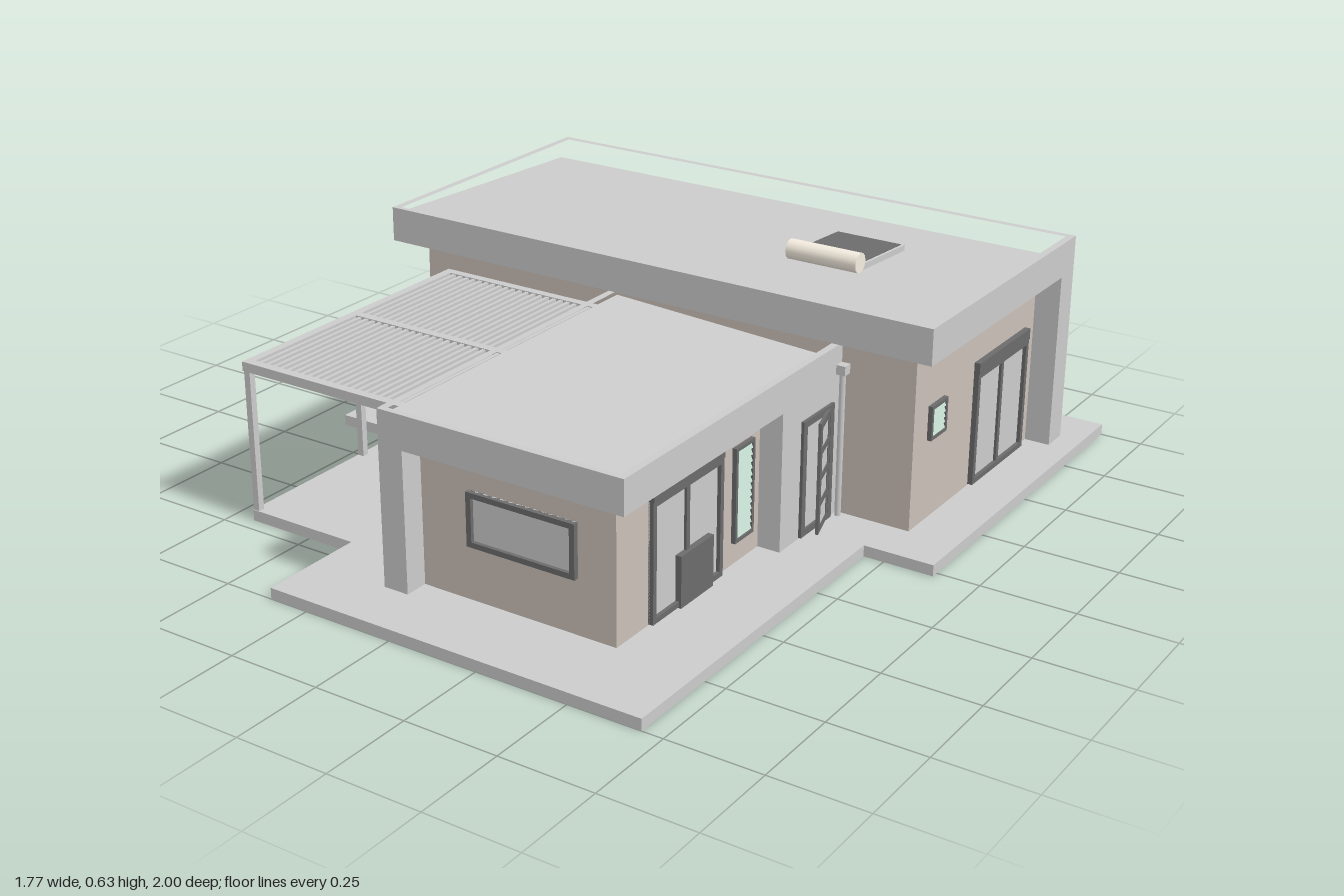
import * as THREE from 'three';

const mat = (color) => new THREE.MeshStandardMaterial({ color });
const grey = mat(0xcccccc), wallMat = mat(0xcbc0b8), dark = mat(0x6c6c6c);
const paneMat = mat(0xc4ddd0), cream = mat(0xf4ecdf);

function add(parent, name, geometry, material = grey) {
  const mesh = new THREE.Mesh(geometry, material);
  mesh.name = name;
  parent.add(mesh);
  return mesh;
}

// Box given by its minimum and maximum on each axis
function box(parent, name, [x0, x1], [y0, y1], [z0, z1], material) {
  const g = new THREE.BoxGeometry(x1 - x0, y1 - y0, z1 - z0);
  g.translate((x0 + x1) / 2, (y0 + y1) / 2, (z0 + z1) / 2);
  return add(parent, name, g, material);
}

const shapeOf = (pts) => new THREE.Shape(pts.map(([a, b]) => new THREE.Vector2(a, b)));
const extrude = (shape, depth) => new THREE.ExtrudeGeometry(shape, { depth, bevelEnabled: false });

// Plan outline in x, z raised from y0 to y1
function plan(parent, name, pts, y0, y1, hole) {
  const flip = (p) => p.map(([x, z]) => [x, -z]);
  const shape = shapeOf(flip(pts));
  if (hole) shape.holes.push(shapeOf(flip(hole)));
  return add(parent, name, extrude(shape, y1 - y0).rotateX(-Math.PI / 2).translate(0, y0, 0));
}

const rect = (x0, x1, z0, z1) => [[x0, z0], [x1, z0], [x1, z1], [x0, z1]];

// Places a window unit: its local +z points out of the wall
function place(parent, name, x, y, z, turn) {
  const g = new THREE.Group();
  g.name = name;
  g.position.set(x, y, z);
  g.rotation.y = turn;
  parent.add(g);
  return g;
}

// Rectangular frame around the local origin, which is at bottom centre
function frame(g, w, h, t, d) {
  box(g, 'frameLeft', [-w / 2, -w / 2 + t], [0, h], [-0.005, d], dark);
  box(g, 'frameRight', [w / 2 - t, w / 2], [0, h], [-0.005, d], dark);
  box(g, 'frameTop', [-w / 2, w / 2], [h - t, h], [-0.005, d], dark);
  box(g, 'frameBottom', [-w / 2, w / 2], [0, t], [-0.005, d], dark);
}

function slidingDoor(parent, x, z, turn) {
  const g = place(parent, 'slidingDoor', x, 0.033, z, turn);
  const w = 0.3, h = 0.31;
  frame(g, w, h, 0.014, 0.014);
  box(g, 'shutterBox', [-w / 2, w / 2], [h, h + 0.03], [-0.005, 0.016], dark);
  box(g, 'glass', [-w / 2, w / 2], [0, h], [-0.005, 0.004]);
  box(g, 'middleStile', [-0.007, 0.007], [0, h], [-0.005, 0.011], dark);
}

function louverWindow(parent, x, y, z, turn, h) {
  const g = place(parent, 'louverWindow', x, y, z, turn);
  const w = 0.085, n = Math.round(h / 0.02);
  frame(g, w, h, 0.009, 0.012);
  box(g, 'backing', [-w / 2, w / 2], [0, h], [-0.005, 0.001], dark);
  for (let i = 0; i < n; i++) {
    const slat = add(g, 'louverPane', new THREE.BoxGeometry(w - 0.018, 0.014, 0.003), paneMat);
    slat.position.set(0, 0.009 + (h - 0.018) * (i + 0.5) / n, 0.007);
    slat.rotation.x = -0.4;
  }
}

function downspout(parent, x, z, top) {
  const g = place(parent, 'downspout', x, 0, z, 0);
  add(g, 'pipe', new THREE.CylinderGeometry(0.008, 0.008, top - 0.05, 12).translate(0, (top + 0.01) / 2, 0));
  box(g, 'rainHead', [-0.013, 0.013], [top - 0.025, top], [-0.013, 0.013]);
}

export function createModel() {
  const house = new THREE.Group();
  house.name = 'house';

  // Ground slab
  plan(house, 'groundSlab', [[-0.89, -1], [0.885, -1], [0.885, 0.02], [0.695, 0.02], [0.695, 1],
    [-0.36, 1], [-0.36, 0.71], [-0.685, 0.71], [-0.685, 0.12], [-0.89, 0.12]], 0, 0.03);

  // Main block: recessed walls, wide rear wall and roof
  const main = place(house, 'mainBlock', 0, 0, 0, 0);
  box(main, 'walls', [-0.755, 0.75], [0.03, 0.51], [-0.8, -0.11], wallMat);
  box(main, 'rearWall', [-0.825, 0.82], [0.03, 0.51], [-0.865, -0.79]);
  plan(main, 'parapet', rect(-0.825, 0.82, -0.865, -0.045), 0.51, 0.605, rect(-0.805, 0.8, -0.845, -0.06));
  const mainDeck = shapeOf([[-0.845, 0.51], [-0.06, 0.51], [-0.06, 0.593], [-0.805, 0.56],
    [-0.805, 0.53], [-0.845, 0.53]]);
  add(main, 'roofDeck', extrude(mainDeck, 1.605).rotateY(-Math.PI / 2).translate(0.8, 0, 0));

  // Front wing: left wall, recessed room, entrance wall and roof
  const wing = place(house, 'frontWing', 0, 0, 0, 0);
  box(wing, 'leftWall', [-0.14, -0.07], [0.03, 0.4], [-0.11, 0.845]);
  box(wing, 'walls', [-0.075, 0.48], [0.03, 0.4], [-0.11, 0.78], wallMat);
  box(wing, 'entranceWall', [0.475, 0.543], [0.03, 0.4], [-0.11, 0.17]);
  plan(wing, 'parapet', rect(-0.14, 0.545, -0.11, 0.845), 0.4, 0.49, rect(-0.12, 0.525, -0.1, 0.828));
  const wingDeck = shapeOf([[-0.12, 0.4], [0.525, 0.4], [0.525, 0.42], [0.482, 0.42],
    [0.482, 0.45], [-0.12, 0.48]]);
  add(wing, 'roofDeck', extrude(wingDeck, 0.928).translate(0, 0, -0.1));

  // Windows
  const E = Math.PI / 2, N = Math.PI;
  slidingDoor(house, -0.488, -0.11, 0);
  slidingDoor(house, 0.48, 0.503, E);
  slidingDoor(house, 0.75, -0.587, E);
  slidingDoor(house, -0.06, -0.865, N);
  louverWindow(house, -0.223, 0.145, -0.11, 0, 0.197);
  louverWindow(house, 0.48, 0.09, 0.252, E, 0.25);
  louverWindow(house, 0.75, 0.25, -0.227, E, 0.092);
  louverWindow(house, -0.755, 0.145, -0.54, -E, 0.197);
  louverWindow(house, -0.525, 0.145, -0.865, N, 0.197);
  louverWindow(house, 0.36, 0.145, -0.865, N, 0.197);
  const wide = place(house, 'frontWindow', 0.223, 0.175, 0.78, 0);
  frame(wide, 0.305, 0.14, 0.014, 0.014);
  box(wide, 'glass', [-0.15, 0.15], [0, 0.14], [-0.005, 0.004]);

  // Low cabinet by the wing's sliding door
  box(house, 'cabinet', [0.48, 0.5], [0.03, 0.165], [0.405, 0.545], dark);

  // Entrance door: fixed frame and a leaf standing ajar
  const entry = place(house, 'entranceDoor', 0.543, 0.033, 0.005, E);
  frame(entry, 0.15, 0.312, 0.018, 0.008);
  box(entry, 'doorOpening', [-0.07, 0.07], [0, 0.31], [-0.005, 0.002]);
  const leaf = place(house, 'doorLeaf', 0.545, 0.04, -0.045, 0.3);
  for (const z of [0, 0.085]) box(leaf, 'stile', [0, 0.008], [0, 0.298], [z, z + 0.018], dark);
  for (let i = 0; i < 5; i++) {
    const y = i * 0.07;
    box(leaf, 'doorRail', [0, 0.008], [y, y + 0.018], [0, 0.1], dark);
  }
  box(leaf, 'doorGlass', [0.002, 0.006], [0, 0.295], [0.01, 0.09]);

  // Pergola: posts, beams and thin slats
  const pergola = place(house, 'pergola', 0, 0, 0, 0);
  const beamY = [0.41, 0.435];
  for (const z of [0.285, 0.69]) box(pergola, 'post', [-0.685, -0.667], [0.03, 0.41], [z, z + 0.018]);
  box(pergola, 'post', [-0.16, -0.14], [0.03, 0.41], [0.69, 0.708]);
  for (const x of [-0.688, -0.164]) box(pergola, 'sideBeam', [x, x + 0.024], beamY, [-0.11, 0.71]);
  for (const z of [-0.11, 0.284, 0.686]) box(pergola, 'crossBeam', [-0.688, -0.14], beamY, [z, z + 0.024]);
  for (let i = 0; i < 22; i++) {
    const x = -0.655 + i * 0.0225;
    box(pergola, 'slat', [x, x + 0.01], [0.413, 0.433], [-0.1, 0.7]);
  }

  // Solar water heater: tilted panel and tank
  const heater = place(house, 'solarHeater', 0.355, 0, 0, 0);
  const panel = place(heater, 'solarPanel', 0, 0.59, -0.475, 0);
  panel.rotation.x = -0.06;
  box(panel, 'panelFrame', [-0.102, 0.102], [-0.012, 0.004], [-0.12, 0.12]);
  box(panel, 'collector', [-0.094, 0.094], [0, 0.006], [-0.112, 0.112], dark);
  const tank = add(heater, 'tank', new THREE.CylinderGeometry(0.027, 0.027, 0.205, 12), cream);
  tank.rotation.z = Math.PI / 2;
  tank.position.set(0, 0.608, -0.35);
  tank.material = cream.clone();

  // Rainwater pipes
  downspout(house, 0.783, -0.878, 0.555);
  downspout(house, 0.557, -0.094, 0.44);

  return house;
}
